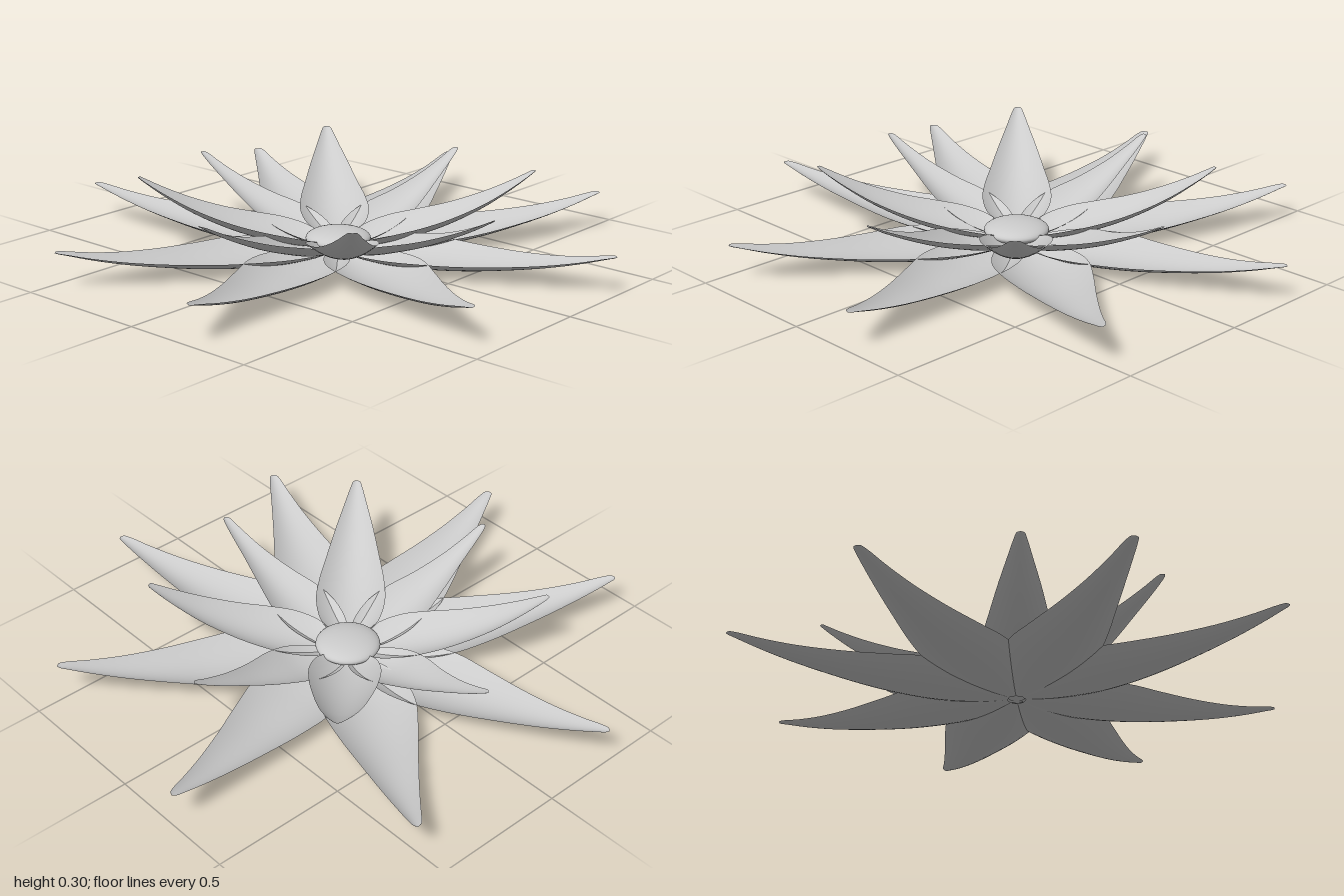
import * as THREE from 'three';
import { ParametricGeometry } from 'three/addons/geometries/ParametricGeometry.js';

const material = new THREE.MeshStandardMaterial({ color: 0xcccccc, side: THREE.DoubleSide });

// Each station along a petal: [distance from centre, height of midrib, half width]
const OUTER = [
  [0.03, 0.012, 0.03], [0.12, 0.004, 0.105], [0.25, 0.001, 0.155], [0.36, 0.006, 0.163],
  [0.5, 0.018, 0.137], [0.65, 0.04, 0.1], [0.8, 0.069, 0.065], [0.92, 0.1, 0.039],
  [1.0, 0.125, 0.022], [1.027, 0.133, 0.013], [1.035, 0.136, 0.001],
];
const MIDDLE = [
  [0.03, 0.022, 0.025], [0.1, 0.024, 0.085], [0.19, 0.04, 0.114], [0.28, 0.068, 0.109],
  [0.4, 0.112, 0.077], [0.52, 0.167, 0.046], [0.62, 0.219, 0.026],
  [0.67, 0.249, 0.016], [0.683, 0.257, 0.01], [0.69, 0.261, 0.001],
];
const INNER = [
  [0.03, 0.034, 0.03], [0.1, 0.036, 0.1], [0.19, 0.05, 0.126], [0.29, 0.074, 0.121],
  [0.4, 0.112, 0.1], [0.52, 0.169, 0.072], [0.62, 0.232, 0.042],
  [0.68, 0.276, 0.022], [0.7, 0.292, 0.013], [0.707, 0.298, 0.001],
];

// Cupped leaf: the edges lift in proportion to the local width
function petalGeometry(stations, cup) {
  const spline = new THREE.CatmullRomCurve3(stations.map((s) => new THREE.Vector3(...s)));
  const p = new THREE.Vector3();
  return new ParametricGeometry((u, v, target) => {
    spline.getPoint(v, p);
    const t = 1 - 2 * u;
    target.set(p.x, p.y + cup * p.z * t * t, p.z * t);
  }, 14, 40);
}

function petalRing(name, stations, cup, angles) {
  const ring = new THREE.Group();
  ring.name = name + 's';
  const geometry = petalGeometry(stations, cup);
  for (const angle of angles) {
    const petal = new THREE.Mesh(geometry, material);
    petal.name = name;
    petal.rotation.y = THREE.MathUtils.degToRad(angle);
    ring.add(petal);
  }
  return ring;
}

export function createModel() {
  const flower = new THREE.Group();
  flower.name = 'flower';

  // Three tiers of petals
  flower.add(
    petalRing('outerPetal', OUTER, 0.35, [15, 60, 105, 150, 195, 244.7, 285, 334.7]),
    petalRing('middlePetal', MIDDLE, 0.4, [0, 90, 180, 270]),
    petalRing('innerPetal', INNER, 0.45, [45, 135, 225, 315]),
  );

  // Flattened centre
  const centre = new THREE.Mesh(new THREE.SphereGeometry(0.117, 40, 20), material);
  centre.name = 'flowerCentre';
  centre.scale.y = 0.3;
  centre.position.y = 0.063;
  flower.add(centre);

  return flower;
}
